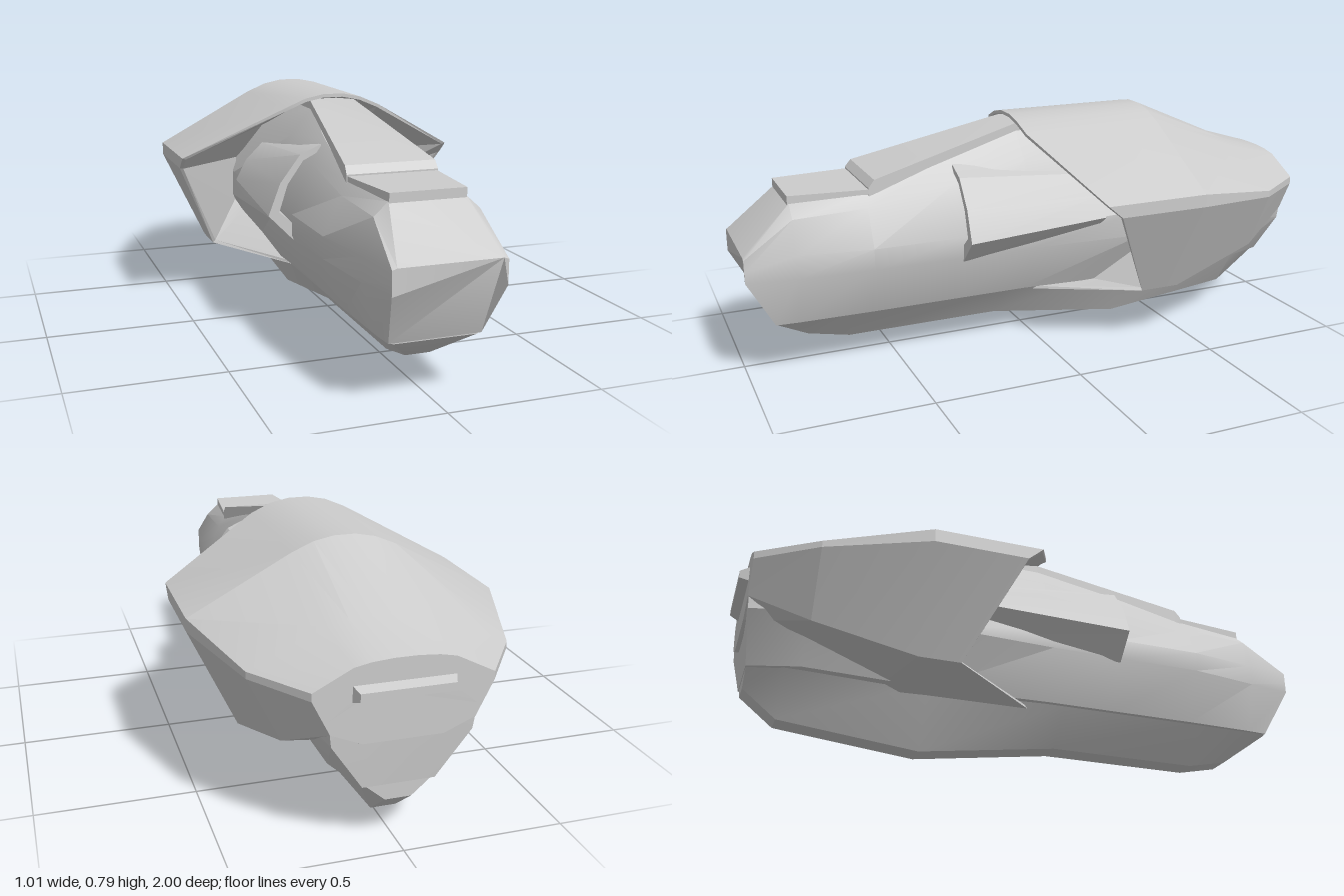
import * as THREE from 'three';
import { toCreasedNormals } from 'three/addons/utils/BufferGeometryUtils.js';

const material = new THREE.MeshStandardMaterial({ color: 0xcccccc });
const thin = new THREE.MeshStandardMaterial({ color: 0xcccccc, side: THREE.DoubleSide });

// Skins a run of equal-length cross-sections, ordered front to back.
function loft(rings, { closed = true, front = false, back = false, crease = 0.45 } = {}) {
  const n = rings[0].length, pos = [];
  const tri = (a, b, c) => pos.push(...a, ...b, ...c);
  for (let i = 0; i < rings.length - 1; i++) {
    for (let j = 0; j < (closed ? n : n - 1); j++) {
      const k = (j + 1) % n, p = rings[i], q = rings[i + 1];
      tri(p[j], p[k], q[j]);
      tri(p[k], q[k], q[j]);
    }
  }
  const first = rings[0], last = rings[rings.length - 1];
  for (let j = 1; j < n - 1; j++) {
    if (front) tri(first[0], first[j + 1], first[j]);
    if (back) tri(last[0], last[j], last[j + 1]);
  }
  const g = new THREE.BufferGeometry();
  g.setAttribute('position', new THREE.Float32BufferAttribute(pos, 3));
  return toCreasedNormals(g, crease);
}

// Half outline, top to bottom, completed with its mirror image.
const mirror = (half) => [...half, ...half.slice().reverse().map(([x, y, z]) => [-x, y, z])];
// Half outline lying in one z plane.
const slice = (z, pts) => pts.map(([x, y]) => [x, y, z]);

export function createModel() {
  const model = new THREE.Group();
  const add = (name, geometry, mat = material) => {
    const mesh = new THREE.Mesh(geometry, mat);
    mesh.name = name;
    model.add(mesh);
  };

  // Main hull, from the blunt nose to the raked stern
  const hull = [
    [[0.16, 0.435, 1], [0.175, 0.43, 1], [0.175, 0.39, 1], [0.175, 0.355, 1], [0.145, 0.19, 0.91]],
    [[0.12, 0.58, 0.84], [0.165, 0.54, 0.84], [0.195, 0.43, 0.84], [0.2, 0.355, 0.84], [0.15, 0.19, 0.84]],
    slice(0.6, [[0.145, 0.59], [0.17, 0.55], [0.228, 0.43], [0.228, 0.36], [0.155, 0.19]]),
    slice(0.3, [[0.115, 0.67], [0.165, 0.6], [0.23, 0.43], [0.23, 0.36], [0.155, 0.19]]),
    slice(0.05, [[0.08, 0.735], [0.15, 0.65], [0.23, 0.43], [0.23, 0.36], [0.155, 0.19]]),
    slice(-0.36, [[0.08, 0.74], [0.15, 0.65], [0.25, 0.45], [0.25, 0.36], [0.16, 0.18]]),
    slice(-0.78, [[0.08, 0.58], [0.15, 0.55], [0.24, 0.45], [0.24, 0.35], [0.16, 0.19]]),
    [[0.08, 0.5, -0.97], [0.15, 0.48, -0.97], [0.22, 0.42, -0.97], [0.21, 0.34, -0.965], [0.11, 0.19, -0.945]],
  ];
  add('hull', loft(hull.map(mirror), { front: true, back: true }));

  // Tapered keel: [z, top half-width, top y, bottom half-width, bottom y]
  const keel = [
    [0.91, 0.14, 0.192, 0.13, 0.187], [0.79, 0.14, 0.192, 0.04, 0.1], [0.65, 0.14, 0.192, 0.04, 0.07],
    [0.12, 0.14, 0.192, 0.04, 0.07], [-0.36, 0.14, 0.2, 0.04, 0], [-0.83, 0.14, 0.2, 0.04, 0.05],
    [-0.943, 0.11, 0.2, 0.04, 0.14],
  ];
  add('keel', loft(keel.map(([z, xt, yt, xb, yb]) => mirror(slice(z, [[xt, yt], [xb, yb]]))),
    { front: true, back: true }));

  // Raised plate on the nose and long sloping canopy behind it
  const plate = [[0.845, 0.12, 0.57, 0.605], [0.58, 0.148, 0.57, 0.605]];
  add('nosePlate', loft(plate.map(([z, x, lo, hi]) => mirror(slice(z, [[x, hi], [x, lo]]))),
    { front: true, back: true }));
  const canopy = [[0.59, 0.15, 0.58, 0.61], [0.57, 0.148, 0.58, 0.635], [0.05, 0.08, 0.7, 0.762],
    [-0.1, 0.08, 0.7, 0.765]];
  add('canopy', loft(canopy.map(([z, x, lo, hi]) => mirror(slice(z, [[x, hi], [x, lo]]))),
    { front: true, back: true }));

  // Broad shell: recessed bulkhead, inner lip, outer lip, then the outer skin
  const wide = [[0.035, 0.785], [0.1, 0.772], [0.17, 0.742], [0.503, 0.563], [0.503, 0.52], [0.35, 0.193], [0.12, 0.167]];
  const frontZ = [0.055, 0.055, 0.05, -0.09, -0.14, -0.31, 0];
  const shell = [
    [[0.035, 0.72, -0.25], [0.08, 0.71, -0.25], [0.14, 0.64, -0.3], [0.23, 0.5, -0.4],
      [0.235, 0.34, -0.4], [0.22, 0.3, -0.35], [0.12, 0.182, -0.2]],
    wide.map(([x, y], i) => [x * 0.975, 0.45 + (y - 0.45) * 0.965, frontZ[i]]),
    wide.map(([x, y], i) => [x, y, frontZ[i]]),
    slice(-0.45, wide),
    slice(-0.78, [[0.035, 0.642], [0.1, 0.637], [0.17, 0.62], [0.4, 0.512], [0.4, 0.49], [0.3, 0.285], [0.12, 0.265]]),
    slice(-0.97, [[0.035, 0.585], [0.1, 0.58], [0.15, 0.57], [0.267, 0.51], [0.267, 0.485], [0.215, 0.38], [0.12, 0.34]]),
  ];
  add('shell', loft(shell.map(mirror), { back: true, crease: 0.3 }), thin);

  // Hollow side intakes, each folded over at its front lip
  const outer = [[0.13, 0.655], [0.2, 0.625], [0.268, 0.535], [0.308, 0.43], [0.225, 0.345]];
  const inner = [[0.13, 0.635], [0.19, 0.605], [0.243, 0.53], [0.272, 0.44], [0.22, 0.395]];
  const shrink = (pts, z) => slice(z, pts.map(([x, y]) => [x * 0.92, 0.5 + (y - 0.5) * 0.68]));
  const intake = [shrink(inner, -0.2), slice(0.3, inner), slice(0.3, outer), shrink(outer, -0.2)];
  for (const [name, s] of [['leftIntake', 1], ['rightIntake', -1]]) {
    const rings = intake.map((ring) => {
      const r = ring.map(([x, y, z]) => [x * s, y, z]);
      return s < 0 ? r.reverse() : r;
    });
    add(name, loft(rings, { closed: false }), thin);
  }

  // Small bevelled block on the stern
  const block = [
    slice(-0.95, [[0.16, 0.525], [0.16, 0.46]]),
    slice(-1, [[0.14, 0.505], [0.14, 0.48]]),
  ];
  add('sternBlock', loft(block.map(mirror), { back: true }));

  return model;
}
